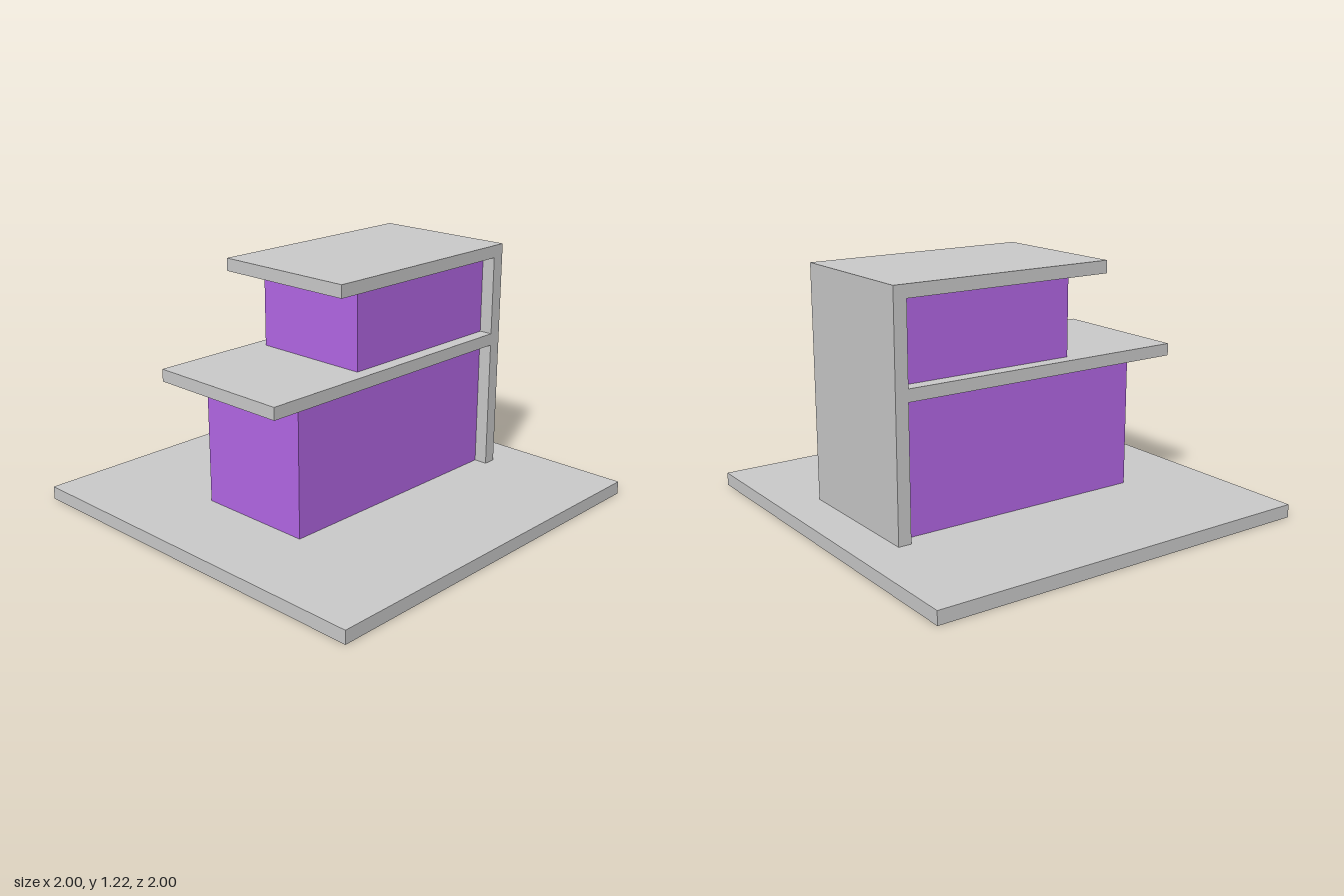
import * as THREE from 'three';

export function createModel() {
  const model = new THREE.Group();
  const grey = new THREE.MeshStandardMaterial({ color: 0xcccccc });
  const purple = new THREE.MeshStandardMaterial({ color: 0xb468e7 });

  // Box given by its half width, bottom, top, back and front
  function block(name, halfWidth, bottom, top, back, front, material) {
    const geometry = new THREE.BoxGeometry(halfWidth * 2, top - bottom, front - back);
    const mesh = new THREE.Mesh(geometry, material);
    mesh.position.set(0, (bottom + top) / 2, (back + front) / 2);
    mesh.name = name;
    model.add(mesh);
  }

  const wallFront = -0.73;

  // Ground plate and the upright wall at the back
  block('basePlate', 1, 0, 0.065, -1, 1, grey);
  block('backWall', 0.372, 0.065, 1.16, -0.795, wallFront, grey);

  // Overhanging slabs
  block('middleSlab', 0.372, 0.71, 0.77, wallFront, 0.772, grey);
  block('roofSlab', 0.372, 1.16, 1.222, -0.795, 0.362, grey);

  // Enclosed rooms on the two floors
  block('lowerRoom', 0.304, 0.065, 0.71, wallFront, 0.565, purple);
  block('upperRoom', 0.304, 0.77, 1.16, wallFront, 0.187, purple);

  return model;
}
